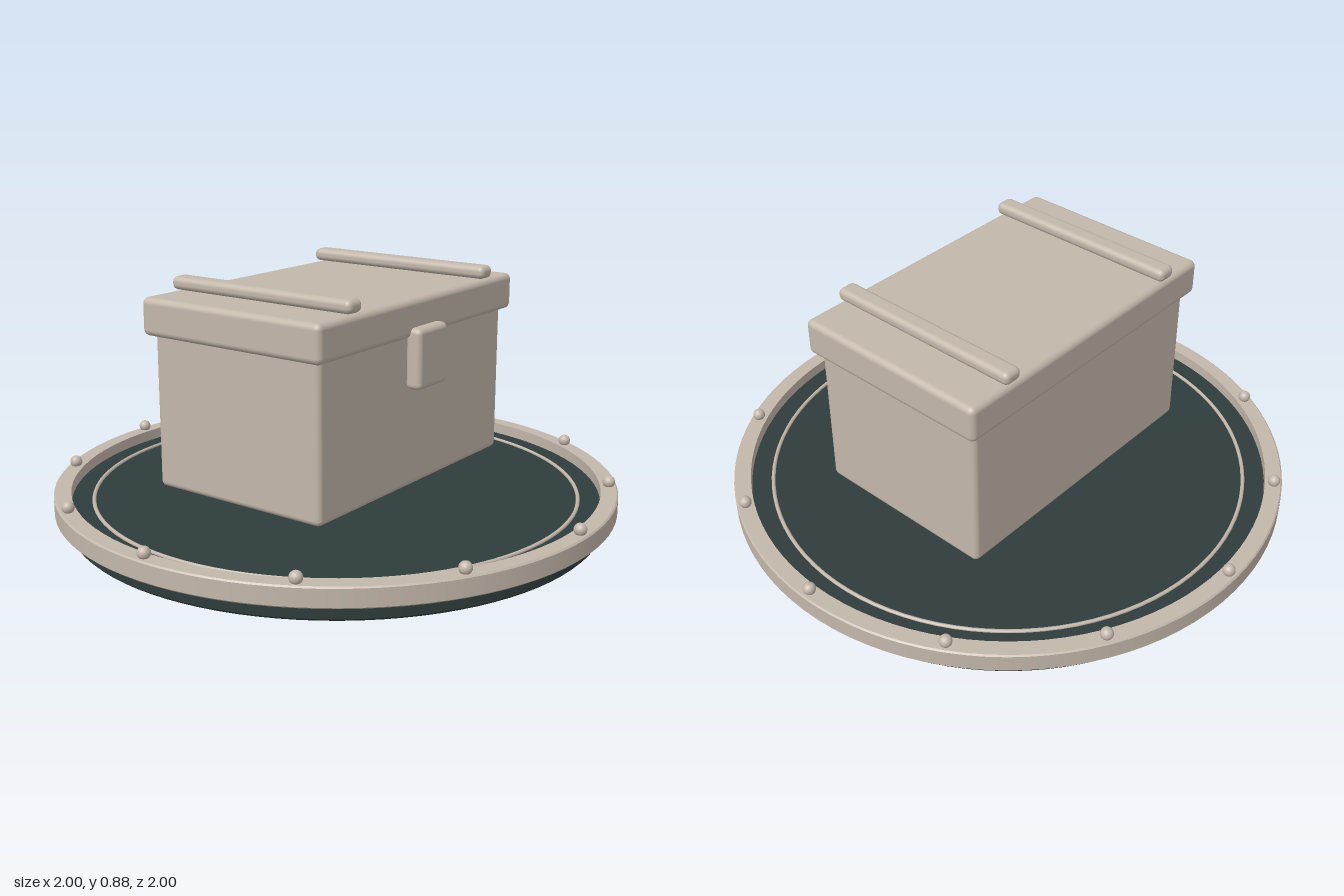
import * as THREE from 'three';
import { RoundedBoxGeometry } from 'three/addons/geometries/RoundedBoxGeometry.js';

export function createModel() {
  const model = new THREE.Group();
  model.name = 'chestOnStand';

  const tan = new THREE.MeshStandardMaterial({ color: 0xc3b7aa });
  tan.name = 'warm tan';
  const dark = new THREE.MeshStandardMaterial({ color: 0x2e3c3b });
  dark.name = 'dark slate';

  const add = (name, geometry, material, x, y, z, parent = model) => {
    const mesh = new THREE.Mesh(geometry, material);
    mesh.name = name;
    mesh.position.set(x, y, z);
    parent.add(mesh);
    return mesh;
  };

  // Lathe with hard edges between profile segments, smooth around the axis
  const turned = (name, points, material) => {
    const group = new THREE.Group();
    group.name = name;
    for (let i = 0; i < points.length - 1; i++) {
      const pair = [points[i], points[i + 1]].map(([r, y]) => new THREE.Vector2(r, y));
      add(name + 'Band', new THREE.LatheGeometry(pair, 96), material, 0, 0, 0, group);
    }
    model.add(group);
  };

  // Round base, its raised rim and the thin inlaid ring
  turned('baseDisc', [[0, 0], [0.945, 0], [0.953, 0.008], [0.953, 0.09], [0, 0.09]], dark);
  turned('rim', [[0.94, 0.06], [0.995, 0.06], [1, 0.065], [1, 0.125], [0.995, 0.13],
    [0.94, 0.13], [0.94, 0.06]], tan);
  const inlay = add('inlayRing', new THREE.TorusGeometry(0.863, 0.007, 8, 96), tan, 0, 0.092, 0);
  inlay.rotation.x = Math.PI / 2;

  // Twelve rivets on the rim
  const rivetGeometry = new THREE.SphereGeometry(0.022, 16, 12);
  for (let i = 0; i < 12; i++) {
    const a = (i * Math.PI) / 6;
    add('rivet', rivetGeometry, tan, 0.97 * Math.cos(a), 0.145, 0.97 * Math.sin(a));
  }

  // Chest: body, lid, front latch and two lid straps
  const chest = new THREE.Group();
  chest.name = 'chest';
  model.add(chest);
  const block = (name, w, h, d, r, x, y, z) =>
    add(name, new RoundedBoxGeometry(w, h, d, 3, r), tan, x, y, z, chest);

  block('chestBody', 1.094, 0.56, 0.69, 0.02, 0, 0.45, 0);
  block('chestLid', 1.16, 0.13, 0.744, 0.022, 0, 0.765, 0);
  block('latch', 0.176, 0.21, 0.06, 0.02, 0, 0.63, 0.38);
  for (const side of [-1, 1]) {
    block('lidStrap', 0.072, 0.046, 0.752, 0.02, side * 0.395, 0.856, 0);
  }

  return model;
}
